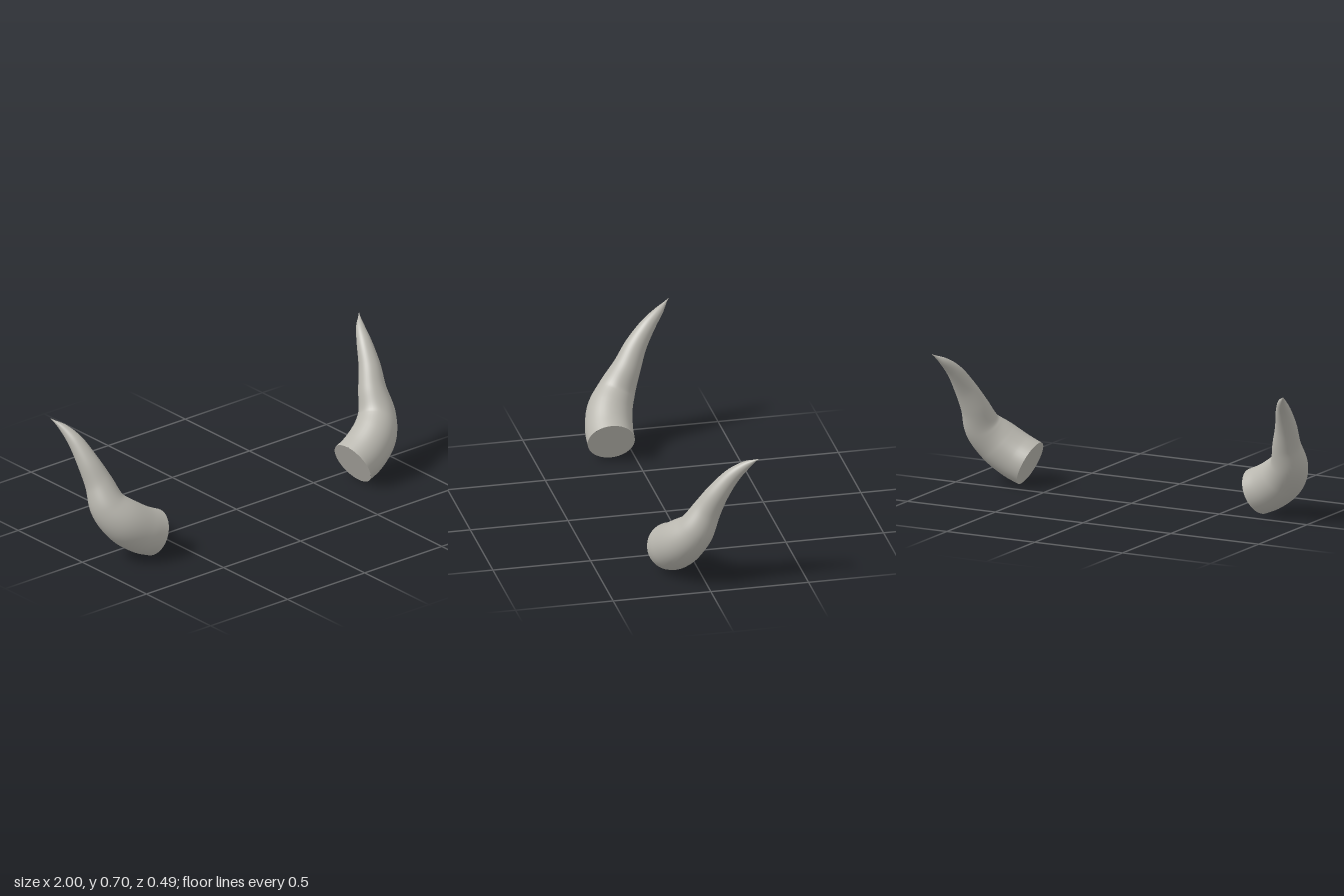
import * as THREE from 'three';

// Centre line and radius of the left horn, base to tip: x, y, z, radius
const STATIONS = [
  [0.648, 0.112, 0.128, 0.119],
  [0.722, 0.146, 0.122, 0.120],
  [0.810, 0.210, 0.098, 0.115],
  [0.869, 0.288, 0.050, 0.096],
  [0.887, 0.400, -0.006, 0.072],
  [0.912, 0.500, -0.057, 0.056],
  [0.936, 0.600, -0.128, 0.039],
  [0.962, 0.660, -0.190, 0.022],
  [1.000, 0.705, -0.246, 0.001],
];
const RINGS = 56;
const SIDES = 40;

// Smooth tapering sweep along the centre line, plus a flat disc closing the base
function makeHorn(side, material) {
  const path = new THREE.CatmullRomCurve3(STATIONS.map(([x, y, z]) => new THREE.Vector3(x * side, y, z)));
  const radii = new THREE.SplineCurve(STATIONS.map((s, i) => new THREE.Vector2(i, s[3])));
  const { tangents, normals, binormals } = path.computeFrenetFrames(RINGS, false);

  const positions = [];
  const indices = [];
  for (let i = 0; i <= RINGS; i++) {
    const t = path.getUtoTmapping(i / RINGS);
    const centre = path.getPoint(t);
    const radius = Math.max(radii.getPoint(t).y, 0.001);
    for (let j = 0; j < SIDES; j++) {
      const angle = (j / SIDES) * Math.PI * 2;
      const p = centre.clone()
        .addScaledVector(normals[i], Math.cos(angle) * radius)
        .addScaledVector(binormals[i], Math.sin(angle) * radius);
      positions.push(p.x, p.y, p.z);
      if (i < RINGS) {
        const a = i * SIDES + j;
        const b = i * SIDES + ((j + 1) % SIDES);
        indices.push(a, b, a + SIDES, b, b + SIDES, a + SIDES);
      }
    }
  }
  const geometry = new THREE.BufferGeometry();
  geometry.setAttribute('position', new THREE.Float32BufferAttribute(positions, 3));
  geometry.setIndex(indices);
  geometry.computeVertexNormals();

  const horn = new THREE.Group();
  horn.name = side > 0 ? 'leftHorn' : 'rightHorn';
  const body = new THREE.Mesh(geometry, material);
  body.name = 'hornBody';

  // Base disc facing inward, away from the tip
  const base = new THREE.Mesh(new THREE.CircleGeometry(STATIONS[0][3], SIDES), material);
  base.name = 'hornBase';
  base.position.copy(path.getPoint(0));
  base.quaternion.setFromUnitVectors(new THREE.Vector3(0, 0, 1), tangents[0].clone().negate());

  horn.add(body, base);
  return horn;
}

export function createModel() {
  const bone = new THREE.MeshStandardMaterial({ color: 0xb9b7af });
  bone.name = 'bone grey';
  const model = new THREE.Group();
  model.name = 'horns';
  for (const side of [1, -1]) model.add(makeHorn(side, bone));
  return model;
}
